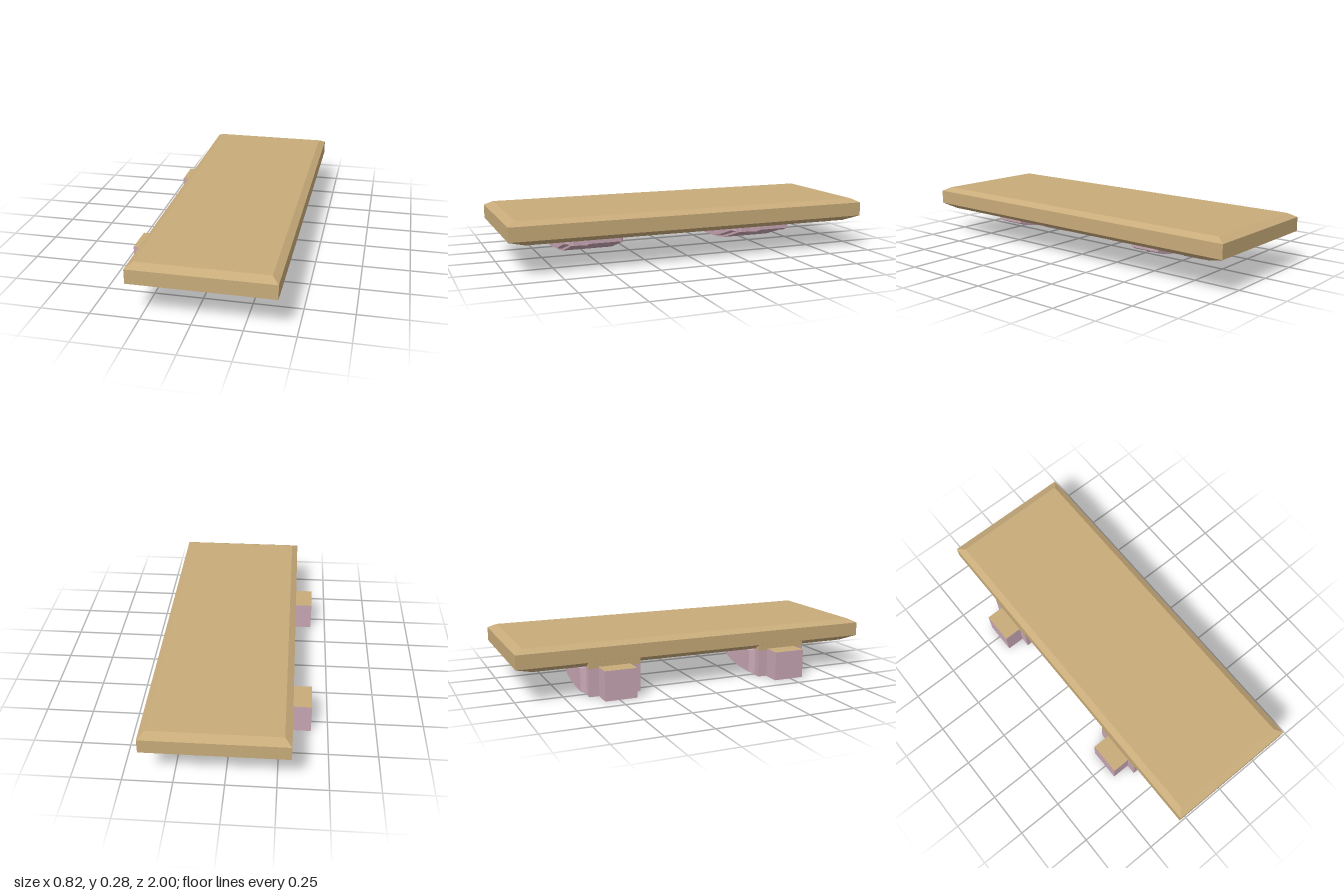
import * as THREE from 'three';

const WOOD = new THREE.MeshStandardMaterial({ color: 0xc8ab7a, flatShading: true });
const PINK = new THREE.MeshStandardMaterial({ color: 0xc8a7b4, flatShading: true });

// Closed solid through convex rings of points, each counter-clockwise about the stacking axis
function loft(name, rings, material) {
  const pos = [];
  const tri = (...pts) => pts.forEach((p) => pos.push(...p));
  const n = rings[0].length;
  for (let r = 0; r < rings.length - 1; r++) {
    const lo = rings[r], hi = rings[r + 1];
    for (let i = 0; i < n; i++) {
      const j = (i + 1) % n;
      tri(lo[i], lo[j], hi[j]);
      tri(lo[i], hi[j], hi[i]);
    }
  }
  const first = rings[0], last = rings[rings.length - 1];
  for (let i = 1; i < n - 1; i++) {
    tri(first[0], first[i + 1], first[i]);
    tri(last[0], last[i], last[i + 1]);
  }
  const geo = new THREE.BufferGeometry();
  geo.setAttribute('position', new THREE.Float32BufferAttribute(pos, 3));
  geo.computeVertexNormals();
  const mesh = new THREE.Mesh(geo, material);
  mesh.name = name;
  return mesh;
}

// Side profile carried across z; the inner profile closes the chamfered ends
const atZ = (profile, z) => profile.map(([x, y]) => [x, y, z]);
function chamfered(name, outer, inner, zOuter, zInner, material) {
  return loft(name, [atZ(inner, -zInner), atZ(outer, -zOuter), atZ(outer, zOuter), atZ(inner, zInner)], material);
}
const prism = (name, profile, half, material) =>
  loft(name, [atZ(profile, -half), atZ(profile, half)], material);

const rect = (x0, x1, z, y) => [[x0, y, z], [x1, y, z], [x1, y, -z], [x0, y, -z]];

function createBracket() {
  const g = new THREE.Group();

  // Curved main body with a fine chamfer on its front corners
  const body = [[-0.315, 0.002], [-0.11, 0.011], [-0.01, 0.026], [0.19, 0.092], [0.19, 0.157], [-0.315, 0.157]];
  const bodyEnd = body.map(([x, y]) => [Math.min(x, 0.184), y]);
  g.add(chamfered('bracketBody', body, bodyEnd, 0.134, 0.14, PINK));

  // Raised, bevelled panels on both sides
  const panel = [[-0.275, 0.01], [-0.12, 0.017], [-0.04, 0.03], [0.145, 0.09], [0.145, 0.15], [-0.275, 0.15]];
  const panelFace = [[-0.25, 0.017], [-0.125, 0.023], [-0.045, 0.035], [0.122, 0.091], [0.122, 0.143], [-0.25, 0.143]];
  g.add(chamfered('bracketSidePanels', panel, panelFace, 0.14, 0.165, PINK));

  // Narrow nose under the free edge of the board
  g.add(prism('bracketNose',
    [[0.17, 0.09], [0.19, 0.092], [0.285, 0.11], [0.325, 0.127], [0.325, 0.157], [0.17, 0.157]], 0.085, PINK));

  // Narrow tail block with a wooden top face
  g.add(prism('bracketTail', [[-0.412, 0], [-0.31, 0], [-0.31, 0.157], [-0.412, 0.157]], 0.086, PINK));
  const cap = new THREE.Mesh(new THREE.PlaneGeometry(0.132, 0.172).rotateX(-Math.PI / 2), WOOD);
  cap.name = 'tailTop';
  cap.position.set(-0.346, 0.1575, 0);
  g.add(cap);

  // Wooden wedge filling the gap under the board bevel
  g.add(prism('boardWedge', [[-0.316, 0.15], [-0.28, 0.154], [-0.28, 0.157], [-0.316, 0.183]], 0.14, WOOD));
  return g;
}

export function createModel() {
  const model = new THREE.Group();
  model.name = 'shelf';

  // Bevelled board
  model.add(loft('board', [
    rect(-0.28, 0.375, 0.91, 0.157),
    rect(-0.315, 0.41, 1, 0.183),
    rect(-0.315, 0.41, 1, 0.258),
    rect(-0.28, 0.375, 0.955, 0.28),
  ], WOOD));

  // Two matching brackets
  for (const side of [-1, 1]) {
    const bracket = createBracket();
    bracket.name = side > 0 ? 'frontBracket' : 'backBracket';
    bracket.position.z = side * 0.491;
    model.add(bracket);
  }
  return model;
}
